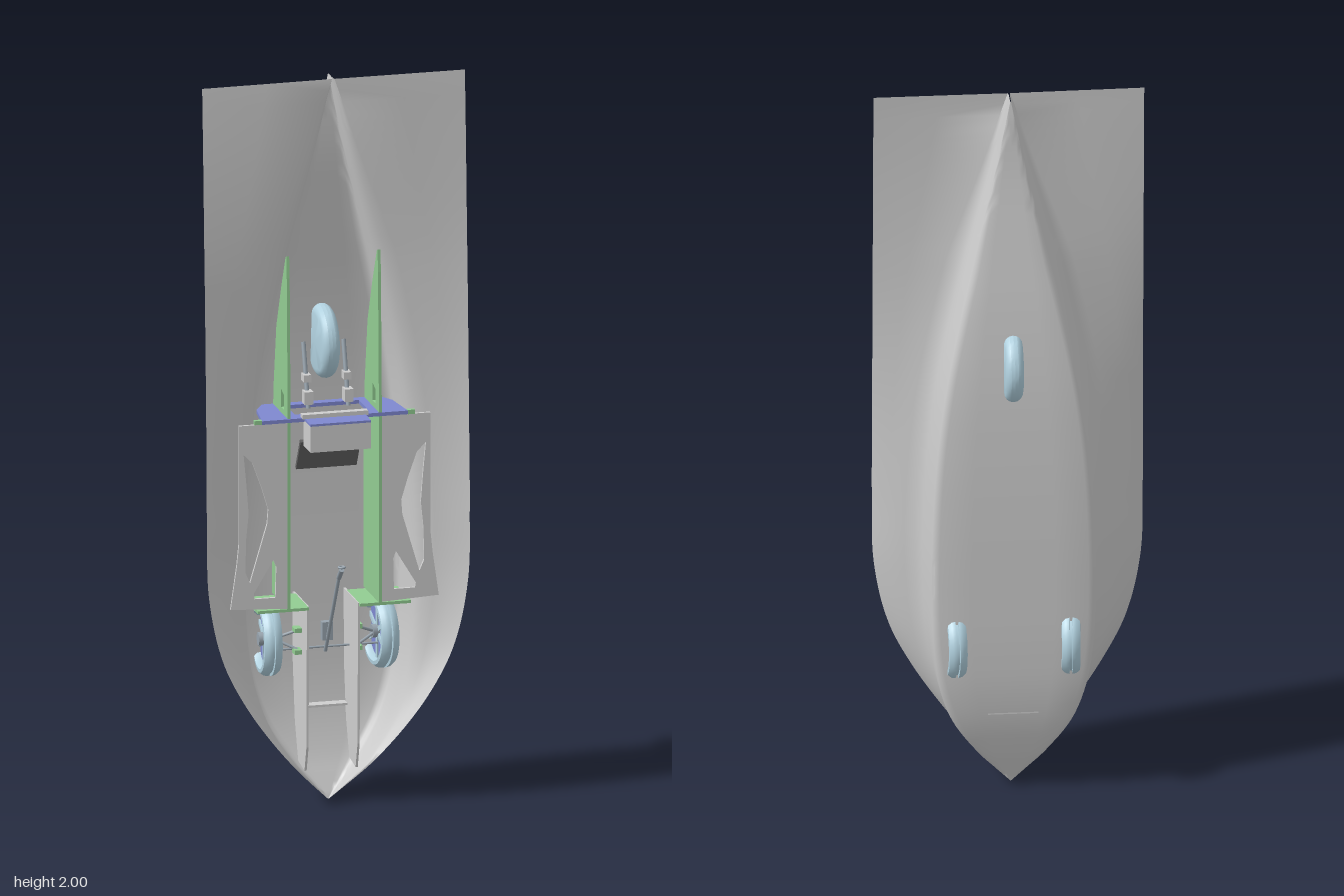
import * as THREE from 'three';
import { toCreasedNormals } from 'three/addons/utils/BufferGeometryUtils.js';

const mat = (name, color, side = THREE.FrontSide) => {
  const m = new THREE.MeshStandardMaterial({ color, side });
  m.name = name;
  return m;
};

export function createModel() {
  const root = new THREE.Group();
  root.name = 'streamlinedVehicle';
  const shellGrey = mat('shell grey', 0xcccccc, THREE.DoubleSide);
  const panelGrey = mat('panel grey', 0xcecece);
  const darkGrey = mat('dark grey', 0x626262);
  const green = mat('frame green', 0x92cc92);
  const blue = mat('frame blue', 0x7e88d0);
  const tyreBlue = mat('pale blue', 0xb2d2e0);
  const steel = mat('steel', 0x98a4ae);

  const add = (name, geo, material, x = 0, y = 0, z = 0, parent = root) => {
    const m = new THREE.Mesh(geo, material);
    m.name = name;
    m.position.set(x, y, z);
    parent.add(m);
    return m;
  };
  const box = (name, material, w, h, d, x, y, z) =>
    add(name, new THREE.BoxGeometry(w, h, d), material, x, y, z);
  const vecs = (pts) => pts.map(([a, b]) => new THREE.Vector2(a, b));
  // flat plate with optional holes, extruded along its own z
  const plateGeo = (pts, depth, holes = []) => {
    const s = new THREE.Shape(vecs(pts));
    holes.forEach((h) => s.holes.push(new THREE.Path(vecs(h))));
    const g = new THREE.ExtrudeGeometry(s, { depth, bevelEnabled: false });
    return g.translate(0, 0, -depth / 2);
  };
  const rod = (name, material, a, b, r) => {
    const p = new THREE.Vector3(...a), q = new THREE.Vector3(...b);
    const m = add(name, new THREE.CylinderGeometry(r, r, p.distanceTo(q), 10), material);
    m.position.copy(p).lerp(q, 0.5);
    m.quaternion.setFromUnitVectors(new THREE.Vector3(0, 1, 0), q.sub(p).normalize());
  };

  // Shell: stations of y, belly half width, belly z, rim half width, rim z
  const stations = [
    [0.0, 0.001, -0.001, 0.002, 0.001], [0.05, 0.045, -0.024, 0.052, 0.027],
    [0.1, 0.088, -0.047, 0.1, 0.052], [0.2, 0.155, -0.077, 0.183, 0.082],
    [0.3, 0.192, -0.093, 0.252, 0.099], [0.42, 0.212, -0.1, 0.313, 0.106],
    [0.6, 0.22, -0.102, 0.354, 0.107], [0.8, 0.217, -0.102, 0.36, 0.105],
    [1.0, 0.204, -0.098, 0.36, 0.1], [1.2, 0.178, -0.088, 0.36, 0.093],
    [1.4, 0.138, -0.068, 0.36, 0.085], [1.6, 0.091, -0.04, 0.36, 0.075],
    [1.8, 0.043, -0.013, 0.36, 0.066], [2.0, 0.001, 0.0, 0.36, 0.055],
  ];
  const track = new THREE.CubicInterpolant(
    stations.map((s) => s[0]), stations.flatMap((s) => s.slice(1)), 4);
  const section = (y) => {
    const [b, zb, wo, zr] = track.evaluate(y);
    // the flare narrows to a thin fin at the tail
    const f = Math.min(wo - b, 0.14) * Math.min(1, 0.04 + (2 - y) / 0.5);
    const c = Math.min(0.022, b * 0.2);
    const zw = Math.min(zr * 0.97, 0.055), h = zw - zb, x3 = b + 0.42 * f;
    return [
      [0, zb], [b * 0.5, zb], [b - c, zb], [b - c * 0.45, zb + c * 0.15],
      [b - c * 0.12, zb + c * 0.5], [b, zb + c], [b + 0.04 * f, zb + 0.6 * h],
      [b + 0.1 * f, zb + 0.76 * h], [b + 0.22 * f, zb + 0.89 * h], [x3, zb + 0.98 * h],
      [(x3 + wo) / 2, zw + 0.35 * (zr - zw)], [wo, zr],
    ];
  };
  const pos = [], idx = [], rows = 80, cols = 23;
  for (let i = 0; i <= rows; i++) {
    const y = 2 * Math.pow(i / rows, 1.3);
    const half = section(y);
    const full = [...half.slice(1).reverse().map(([x, z]) => [-x, z]), ...half];
    full.forEach(([x, z]) => pos.push(x, y, z));
    if (i === rows) break;
    for (let j = 0; j < cols - 1; j++) {
      const a = i * cols + j, b = a + 1, c = a + cols, d = c + 1;
      idx.push(a, c, b, b, c, d);
    }
  }
  const shell = new THREE.BufferGeometry();
  shell.setAttribute('position', new THREE.Float32BufferAttribute(pos, 3));
  shell.setIndex(idx);
  add('shell', toCreasedNormals(shell, 0.9), shellGrey);

  // Longitudinal plates, flange panels and cross bulkheads, mirrored
  const rail = [[0.068, 0.55], [0.068, 1.07], [0.058, 1.46], [0.053, 1.52], [0.045, 1.515],
    [0.0, 1.42], [-0.05, 1.3], [-0.08, 1.12], [-0.09, 0.95], [-0.093, 0.55]];
  const railHole = [[0.03, 1.09], [0.03, 1.13], [0, 1.14], [0, 1.09]];
  const nosePlate = [[0.055, 0.55], [-0.093, 0.55], [-0.092, 0.36], [-0.07, 0.2],
    [-0.035, 0.1], [0.03, 0.09], [0.05, 0.16]];
  for (const s of [-1, 1]) {
    const flip = (pts) => pts.map(([x, y]) => [s * x, y]);
    add('sideRail', plateGeo(rail, 0.008, [railHole]).rotateY(-Math.PI / 2), green, s * 0.125);
    add('nosePlate', plateGeo(nosePlate, 0.006).rotateY(-Math.PI / 2), panelGrey, s * 0.07);
    const flange = [[0.129, 1.065], [0.262, 1.065], [0.262, 0.74], [0.268, 0.68],
      [0.285, 0.56], [0.129, 0.552]];
    const holes = [
      [[0.25, 0.985], [0.225, 0.96], [0.2, 0.89], [0.182, 0.83], [0.185, 0.79], [0.232, 0.63],
        [0.245, 0.66], [0.243, 0.75], [0.236, 0.82], [0.242, 0.9]],
      [[0.168, 0.69], [0.16, 0.67], [0.162, 0.585], [0.22, 0.585], [0.222, 0.6]],
    ];
    add('flangePanel', plateGeo(flip(flange), 0.008, holes.map(flip)), panelGrey, 0, 0, 0.064);
    box('frontBulkhead', green, 0.14, 0.008, 0.14, s * 0.14, 0.546, -0.005);
    box('bulkheadTab', green, 0.02, 0.012, 0.012, s * 0.21, 1.07, 0.062);

    // Front wheels with grooved tyre, spoked rim and hub
    const wheel = new THREE.Group();
    wheel.name = 'frontWheel';
    wheel.position.set(s * 0.155, 0.44, -0.046);
    wheel.rotation.y = s * 0.06;
    root.add(wheel);
    const tyre = vecs([[0.074, -0.016], [0.08, -0.025], [0.09, -0.024], [0.098, -0.014],
      [0.1, -0.004], [0.092, -0.003], [0.092, 0.003], [0.1, 0.004], [0.098, 0.014],
      [0.09, 0.024], [0.08, 0.025], [0.074, 0.016], [0.074, -0.016]]);
    add('tyre', toCreasedNormals(new THREE.LatheGeometry(tyre, 40).rotateZ(Math.PI / 2), 0.7),
      tyreBlue, 0, 0, 0, wheel);
    add('rim', new THREE.CylinderGeometry(0.076, 0.076, 0.014, 32).rotateZ(Math.PI / 2),
      blue, 0, 0, 0, wheel);
    for (let i = 0; i < 3; i++) {
      add('spoke', new THREE.BoxGeometry(0.024, 0.15, 0.012), tyreBlue, 0, 0, 0, wheel)
        .rotation.x = (i * Math.PI) / 3;
    }
    add('hub', new THREE.CylinderGeometry(0.018, 0.018, 0.05, 16).rotateZ(Math.PI / 2),
      steel, 0, 0, 0, wheel);

    // Suspension arms
    for (const y of [0.41, 0.47]) {
      rod('suspensionArm', steel, [s * 0.073, y, -0.01], [s * 0.14, 0.44, -0.04], 0.004);
      box('armBracket', green, 0.02, 0.012, 0.03, s * 0.083, y, -0.01);
    }

    // Rear fork legs with lugs
    rod('forkLeg', steel, [s * 0.055, 1.08, 0.0], [s * 0.055, 1.25, -0.05], 0.006);
    box('forkLug', panelGrey, 0.024, 0.035, 0.03, s * 0.055, 1.11, -0.005);
    box('forkFoot', panelGrey, 0.02, 0.02, 0.03, s * 0.055, 1.16, -0.02);
  }

  // Rear bulkhead frame and its head fairing
  const frame = [[-0.16, 0.085], [-0.186, 0.04], [-0.2, -0.07], [0.2, -0.07], [0.186, 0.04], [0.16, 0.085]];
  const opening = [[-0.1, 0.06], [0.1, 0.06], [0.1, -0.03], [-0.1, -0.03]];
  add('rearBulkhead', plateGeo(frame, 0.01, [opening]).rotateX(-Math.PI / 2), blue, 0, 1.07, 0);
  box('headFairing', panelGrey, 0.166, 0.072, 0.07, 0, 1.032, 0.095);
  box('fairingCap', blue, 0.166, 0.006, 0.07, 0, 1.071, 0.095);
  box('fairingBase', panelGrey, 0.18, 0.012, 0.02, 0, 1.079, 0.065);
  box('headrest', darkGrey, 0.166, 0.1, 0.01, 0, 0.955, 0.0).rotation.x = 0.5;

  // Rear wheel
  const round = [[0, -0.025], [0.075, -0.025]];
  for (let i = 1; i <= 8; i++) {
    const a = -Math.PI / 2 + (Math.PI * i) / 8;
    round.push([0.075 + 0.025 * Math.cos(a), 0.025 * Math.sin(a)]);
  }
  round.push([0, 0.025]);
  add('rearWheel', toCreasedNormals(new THREE.LatheGeometry(vecs(round), 40).rotateZ(Math.PI / 2), 0.7),
    tyreBlue, 0, 1.25, -0.05);

  // Steering column, grip and tie rod, with the nose crossmember
  rod('steeringColumn', steel, [0, 0.4, -0.03], [0, 0.65, 0.115], 0.005);
  rod('steeringGrip', steel, [0, 0.64, 0.11], [0, 0.67, 0.14], 0.007);
  add('gripRing', new THREE.TorusGeometry(0.008, 0.003, 8, 16).rotateX(Math.PI / 2), steel, 0, 0.677, 0.14);
  rod('tieRod', steel, [-0.145, 0.41, -0.035], [0.145, 0.41, -0.035], 0.003);
  box('columnMount', steel, 0.03, 0.05, 0.02, 0, 0.46, -0.015);
  box('noseCrossmember', panelGrey, 0.134, 0.006, 0.03, 0, 0.24, -0.07);
  return root;
}
